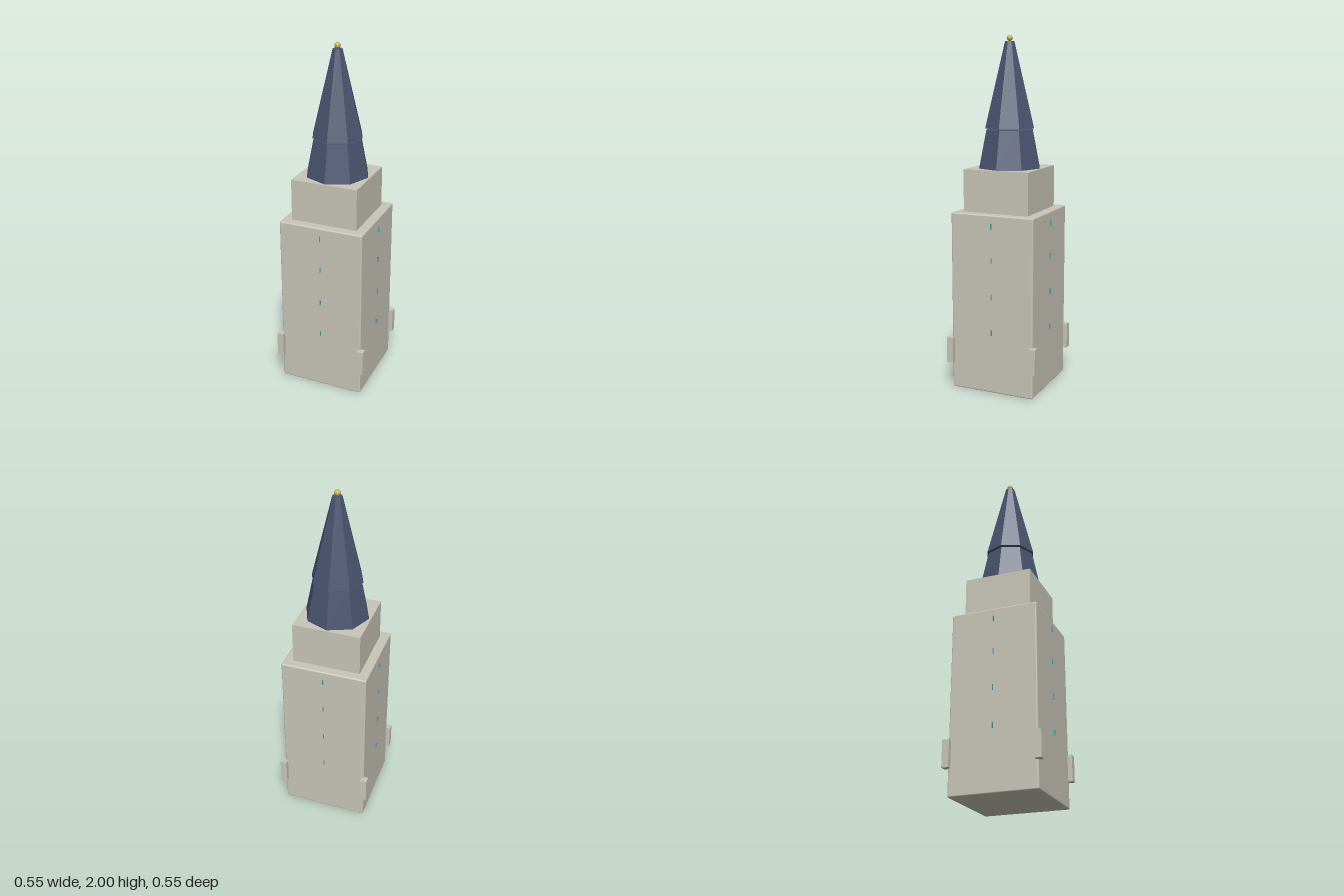
import * as THREE from 'three';
import { RoundedBoxGeometry } from 'three/addons/geometries/RoundedBoxGeometry.js';

const material = (name, color, flatShading = false) => {
  const m = new THREE.MeshStandardMaterial({ color, flatShading });
  m.name = name;
  return m;
};

export function createModel() {
  const stone = material('stone', 0xc8c4b8);
  const slate = material('slate', 0x4a5470, true);
  const gold = material('gold', 0xc9b45c);
  const glass = material('glass', 0x4aa3b8);

  const tower = new THREE.Group();
  tower.name = 'tower';
  const add = (name, geometry, mat, x, y, z, parent = tower) => {
    const mesh = new THREE.Mesh(geometry, mat);
    mesh.name = name;
    mesh.position.set(x, y, z);
    parent.add(mesh);
    return mesh;
  };

  // Main shaft with softened edges, and the set-back block on top
  add('shaft', new RoundedBoxGeometry(0.496, 1.025, 0.496, 3, 0.008), stone, 0, 0.5125, 0);
  add('upperBlock', new THREE.BoxGeometry(0.39, 0.245, 0.39), stone, 0, 1.1415, 0);

  // Two-stage octagonal spire with a narrow gap between the stages
  const spireStage = (name, top, bottom, y0, y1) =>
    add(name, new THREE.CylinderGeometry(top, bottom, y1 - y0, 8), slate, 0, (y0 + y1) / 2, 0);
  spireStage('lowerSpire', 0.14, 0.184, 1.264, 1.478);
  spireStage('upperSpire', 0.028, 0.147, 1.487, 1.965);
  add('finial', new THREE.SphereGeometry(0.017, 16, 12), gold, 0, 1.983, 0);

  // Corner blocks
  const block = new THREE.BoxGeometry(0.039, 0.148, 0.039);
  for (const x of [-1, 1]) {
    for (const z of [-1, 1]) add('cornerBlock', block, stone, x * 0.2535, 0.225, z * 0.2535);
  }

  // Narrow window fins, one column on each wall
  const fin = new THREE.BoxGeometry(0.003, 0.032, 0.018);
  for (let side = 0; side < 4; side++) {
    const column = new THREE.Group();
    column.name = 'windowColumn';
    column.rotation.y = side * Math.PI / 2;
    for (const y of [0.355, 0.562, 0.77, 0.963]) add('window', fin, glass, 0, y, 0.248, column);
    tower.add(column);
  }

  return tower;
}
